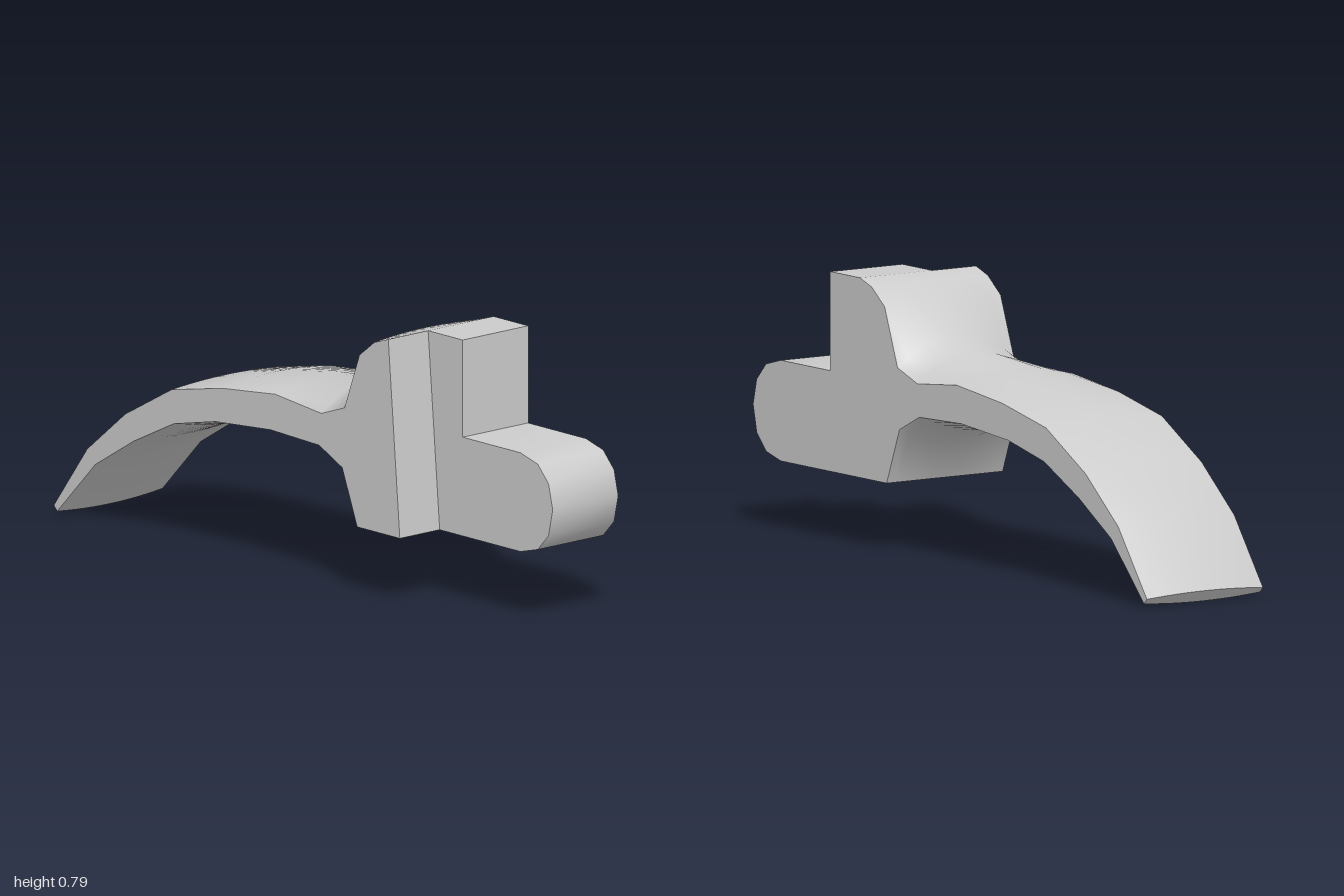
import * as THREE from 'three';
import { toCreasedNormals } from 'three/addons/utils/BufferGeometryUtils.js';

const HALF = 0.205; // half width
const STEP = -0.05; // where the front block and peg begin in x

// Profiles are [z, y], running back along the top and forward along the bottom.
const edgeProfile = [
  [0.46, 0.79], [0.4, 0.77], [0.335, 0.72], [0.27, 0.55], [0.17, 0.515], [-0.03, 0.535],
  [-0.26, 0.51], [-0.48, 0.465], [-0.68, 0.355], [-0.845, 0.22], [-0.99, 0.025],
  [-0.975, 0.01], [-0.81, 0.18], [-0.645, 0.28], [-0.47, 0.365], [-0.29, 0.405],
  [-0.05, 0.425], [0.16, 0.418], [0.26, 0.37], [0.325, 0.205], [0.51, 0.205],
];
const middleProfile = [
  [0.46, 0.79], [0.39, 0.778], [0.33, 0.733], [0.27, 0.63], [0.17, 0.59], [-0.03, 0.563],
  [-0.26, 0.525], [-0.48, 0.475], [-0.68, 0.37], [-0.86, 0.23], [-1, 0.035],
  [-0.97, 0], [-0.81, 0.165], [-0.64, 0.268], [-0.47, 0.337], [-0.3, 0.375],
  [-0.06, 0.398], [0.15, 0.365], [0.26, 0.32], [0.325, 0.205], [0.51, 0.205],
];
const pegProfile = [
  [0.51, 0.205], [0.86, 0.205], [0.935, 0.225], [0.982, 0.275], [1, 0.355],
  [0.982, 0.43], [0.935, 0.48], [0.86, 0.5], [0.61, 0.5], [0.61, 0.79], [0.46, 0.79],
].reverse();

// The lever bulges smoothly from its side edges to its middle.
function leverSection(x) {
  const w = 1 - (x / HALF) ** 2;
  return edgeProfile.map(([z, y], i) => [
    z + (middleProfile[i][0] - z) * w,
    y + (middleProfile[i][1] - y) * w,
  ]);
}

// Skins sections along x and caps both ends; the last-to-first side stays open.
function loft(section, xs, flip = false) {
  const out = [];
  const rings = xs.map((x) => section(x).map(([z, y]) => [x, y, z]));
  const tri = (a, b, c) => out.push(...a, ...(flip ? c : b), ...(flip ? b : c));
  for (let i = 0; i + 1 < rings.length; i++) {
    const a = rings[i], b = rings[i + 1];
    for (let j = 0; j + 1 < a.length; j++) {
      tri(a[j], b[j], a[j + 1]);
      tri(b[j], b[j + 1], a[j + 1]);
    }
  }
  for (const [ring, side] of [[rings[0], -1], [rings[rings.length - 1], 1]]) {
    const flat = ring.map(([, y, z]) => new THREE.Vector2(-z, y));
    for (const [i, j, k] of THREE.ShapeUtils.triangulateShape(flat, [])) {
      const ccw = THREE.ShapeUtils.area([flat[i], flat[j], flat[k]]) > 0;
      const order = ccw === (side > 0) ? [i, j, k] : [i, k, j];
      order.forEach((n) => out.push(...ring[n]));
    }
  }
  return out;
}

function makeMesh(name, positions, material) {
  const geometry = new THREE.BufferGeometry();
  geometry.setAttribute('position', new THREE.Float32BufferAttribute(positions, 3));
  const mesh = new THREE.Mesh(toCreasedNormals(geometry, 0.95), material);
  mesh.name = name;
  return mesh;
}

export function createModel() {
  const group = new THREE.Group();
  group.name = 'lever';
  const material = new THREE.MeshStandardMaterial({ color: 0xcccccc });

  // Curved lever arm with the back of the hub
  const xs = Array.from({ length: 13 }, (_, i) => HALF * (i / 6 - 1));
  group.add(makeMesh('leverArm', loft(leverSection, xs), material));

  // Front block with the rounded peg
  // (its profile starts at the top rear, goes forward and returns along the bottom)
  group.add(makeMesh('frontPeg', loft(() => pegProfile, [STEP, HALF], true), material));

  // Slanted front wall beside the block
  const a = [-HALF, 0.205, 0.51], b = [STEP, 0.205, 0.51];
  const c = [STEP, 0.79, 0.46], d = [-HALF, 0.79, 0.46];
  group.add(makeMesh('slantedWall', [a, b, c, a, c, d].flat(), material));

  return group;
}
